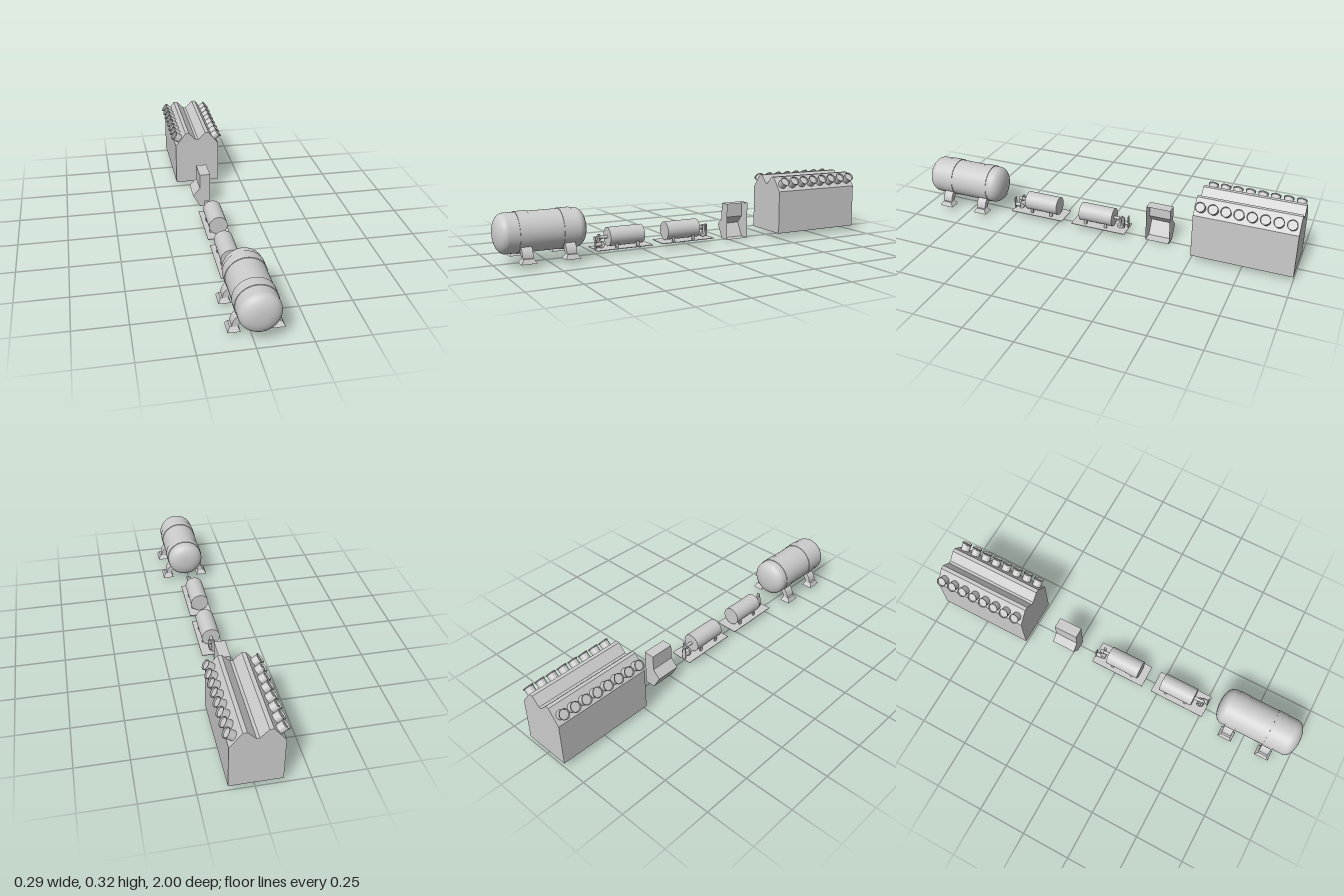
import * as THREE from 'three';
import { mergeGeometries } from 'three/addons/utils/BufferGeometryUtils.js';

const material = new THREE.MeshStandardMaterial({ color: 0xcccccc, side: THREE.DoubleSide });

function add(parent, name, geometry, x = 0, y = 0, z = 0) {
  const mesh = new THREE.Mesh(geometry, material);
  mesh.name = name;
  mesh.position.set(x, y, z);
  parent.add(mesh);
  return mesh;
}

function group(parent, name, x = 0, y = 0, z = 0) {
  const g = new THREE.Group();
  g.name = name;
  g.position.set(x, y, z);
  parent.add(g);
  return g;
}

// Thin sheet housing: an open x/y profile swept from z0 to z1, with both ends filled
function shell(profile, z0, z1) {
  const shape = new THREE.Shape(profile.map(([x, y]) => new THREE.Vector2(x, y)));
  const parts = [
    new THREE.ShapeGeometry(shape).translate(0, 0, z1),
    new THREE.ShapeGeometry(shape).rotateY(Math.PI).scale(-1, 1, 1).translate(0, 0, z0),
  ].map((g) => g.toNonIndexed());
  // the mirrored end is rebuilt with outward winding
  parts[1] = new THREE.ShapeGeometry(shape).translate(0, 0, z0).toNonIndexed();
  const p = parts[1].attributes.position;
  for (let i = 0; i < p.count; i += 3) {
    const a = [p.getX(i + 1), p.getY(i + 1)];
    p.setXY(i + 1, p.getX(i + 2), p.getY(i + 2));
    p.setXY(i + 2, ...a);
  }
  parts[1].computeVertexNormals();
  const sides = [];
  for (let i = 0; i < profile.length - 1; i++) {
    const [ax, ay] = profile[i], [bx, by] = profile[i + 1];
    sides.push(ax, ay, z1, ax, ay, z0, bx, by, z0, ax, ay, z1, bx, by, z0, bx, by, z1);
  }
  const strip = new THREE.BufferGeometry();
  strip.setAttribute('position', new THREE.Float32BufferAttribute(sides, 3));
  strip.computeVertexNormals();
  parts.forEach((g) => g.deleteAttribute('uv'));
  return mergeGeometries([...parts, strip]);
}

// Lathe turned to run along z
function turned(points, segments = 48) {
  return new THREE.LatheGeometry(points.map(([r, h]) => new THREE.Vector2(r, h)), segments).rotateX(Math.PI / 2);
}

function cylinderZ(r, length, segments = 32) {
  return new THREE.CylinderGeometry(r, r, length, segments).rotateX(Math.PI / 2);
}

function buildTank(parent) {
  const tank = group(parent, 'storageTank', 0.0215, 0.148, 0.7825);
  const R = 0.095, half = 0.2175, cap = 0.052, n = 14;
  const end = [];
  for (let i = 0; i <= n; i++) {
    const t = (i / n) * Math.PI / 2;
    end.push([R * Math.sin(t) ** 0.85, half - cap + cap * Math.cos(t) ** 0.95]);
  }
  end[n][1] = half - cap;
  const profile = [...end.map(([r, h]) => [r, -h]), ...end.slice().reverse()];
  add(tank, 'tankBody', turned(profile, 64));

  // Curved leg: quarter ring from the foot up into the shell
  const arc = new THREE.Shape();
  arc.absarc(0, 0, 0.061, Math.PI, Math.PI / 2, true);
  arc.absarc(0, 0, 0.032, Math.PI / 2, Math.PI, false);
  const legGeometry = new THREE.ExtrudeGeometry(arc, { depth: 0.05, bevelEnabled: false, curveSegments: 12 })
    .translate(-0.0445, -0.104, -0.025);
  const footGeometry = new THREE.CylinderGeometry(0.62 * Math.SQRT1_2, Math.SQRT1_2, 0.022, 4)
    .rotateY(Math.PI / 4).toNonIndexed().scale(0.056, 1, 0.075);
  footGeometry.computeVertexNormals();

  for (const z of [0.089, -0.118]) {
    const ring = [[R - 0.003, -0.0275], [0.098, -0.0275], [0.098, 0.0275], [R - 0.003, 0.0275]];
    for (let i = 0; i < 3; i++) add(tank, 'tankBand', turned([ring[i], ring[i + 1]], 64), 0, 0, z);
    for (const side of [1, -1]) {
      const support = group(tank, 'tankSupport', 0, 0, z);
      support.rotation.y = side > 0 ? 0 : Math.PI;
      add(support, 'curvedLeg', legGeometry);
      add(support, 'foot', footGeometry, -0.0975, -0.115, 0);
    }
  }
}

// Small pump set, built with its pump toward +z
function buildPumpUnit(parent, z, direction) {
  const unit = group(parent, 'pumpUnit', 0.003, 0, z);
  unit.rotation.y = direction > 0 ? 0 : Math.PI;
  add(unit, 'basePlate', new THREE.BoxGeometry(0.12, 0.003, 0.296), 0, 0.0265, 0);
  add(unit, 'drum', cylinderZ(0.047, 0.182, 40), 0, 0.08, -0.019);
  for (const x of [-1, 1]) for (const dz of [-0.075, 0.037]) {
    add(unit, 'drumFoot', new THREE.BoxGeometry(0.008, 0.025, 0.014), x * 0.035, 0.038, dz);
  }
  add(unit, 'shaft', cylinderZ(0.008, 0.06, 16), 0, 0.08, 0.098);
  add(unit, 'couplingDisc', cylinderZ(0.014, 0.008, 20), 0, 0.08, 0.112);
  add(unit, 'pumpCasing', new THREE.CylinderGeometry(0.016, 0.016, 0.036, 24).rotateZ(Math.PI / 2), 0.003, 0.047, 0.11);
  add(unit, 'pumpColumn', new THREE.BoxGeometry(0.012, 0.055, 0.012), 0, 0.058, 0.122);
  add(unit, 'inletPipe', cylinderZ(0.01, 0.03, 16), 0.018, 0.05, 0.128);
  add(unit, 'inletFlange', new THREE.BoxGeometry(0.02, 0.06, 0.005), 0.018, 0.06, 0.143);
  add(unit, 'outletPipe', new THREE.CylinderGeometry(0.006, 0.006, 0.045, 12), -0.016, 0.07, 0.11);
}

function buildConsole(parent) {
  // Desk projects to -x, the +x side is open
  const profile = [[0.024, 0], [-0.03, 0], [-0.07, 0.07], [-0.032, 0.11], [-0.032, 0.19], [0.024, 0.19]];
  add(parent, 'controlConsole', shell(profile, -0.36, -0.235));
}

function buildHousing(parent) {
  const housing = group(parent, 'coolerHousing', -0.003, 0, 0);
  // Twin-ridged hall without a floor
  const right = [[0.007, 0.282], [0.046, 0.322], [0.065, 0.322], [0.121, 0.25], [0.121, 0.025]];
  const left = right.map(([x, y]) => [-x, y]).reverse();
  add(housing, 'hall', shell([...left, ...right], -1, -0.5));

  // Fan ducts: short sleeve with a rim and a recessed disc
  const duct = [[0.0225, -0.006], [0.0225, 0.032], [0.0255, 0.034], [0.0255, 0.038], [0.0225, 0.038], [0.0215, 0.031], [0, 0.031]];
  const geometry = new THREE.LatheGeometry(duct.map(([r, h]) => new THREE.Vector2(r, h)), 28).toNonIndexed();
  geometry.computeVertexNormals();
  const angle = Math.atan2(0.056, 0.072);
  for (const side of [1, -1]) {
    for (let i = 0; i < 8; i++) {
      const fan = add(housing, 'fanDuct', geometry, side * 0.0965, 0.2815, -0.533 - i * 0.0617);
      fan.rotation.z = -side * (Math.PI / 2 - angle);
    }
  }
}

export function createModel() {
  const model = new THREE.Group();
  model.name = 'processPlant';
  buildTank(model);
  buildPumpUnit(model, 0.366, 1);
  buildPumpUnit(model, 0.016, -1);
  buildConsole(model);
  buildHousing(model);
  return model;
}
